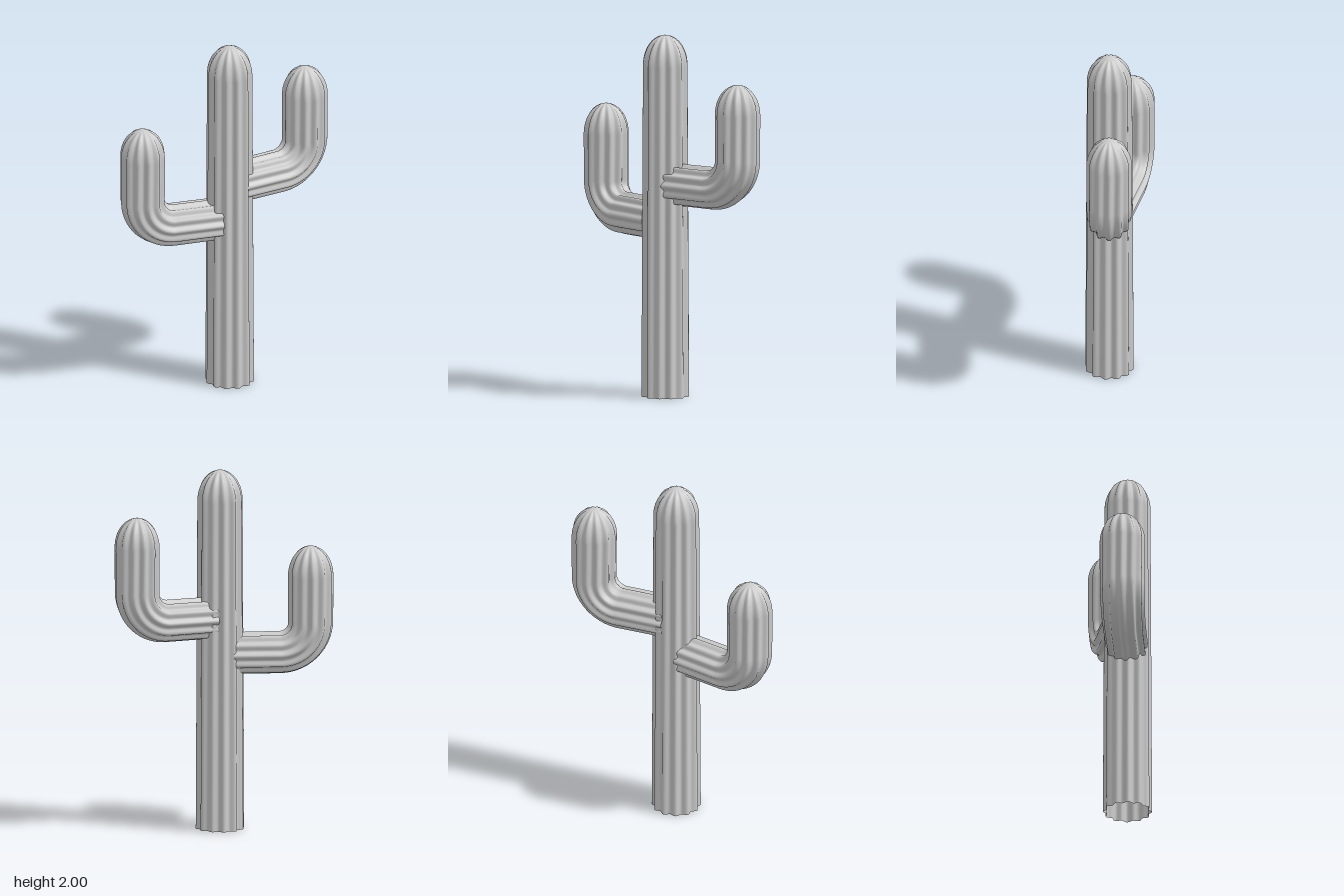
import * as THREE from 'three';

const RIBS = 12, SIDES = 96;
const material = new THREE.MeshStandardMaterial({ color: 0xcccccc, side: THREE.DoubleSide });

// Ribbed tube swept through stations { x, y, angle, r } lying in the XY plane.
// The start is left open and the last station is the closed tip.
function ribbedTube(stations, phase) {
  const pos = [], index = [];
  const tip = stations[stations.length - 1];
  const rings = stations.slice(0, -1);
  for (const s of rings) {
    const ux = Math.sin(s.angle), uy = -Math.cos(s.angle);
    for (let j = 0; j < SIDES; j++) {
      const a = (j / SIDES) * Math.PI * 2;
      const r = s.r * (0.93 + 0.07 * Math.cos(RIBS * (a - phase)));
      pos.push(s.x + ux * r * Math.cos(a), s.y + uy * r * Math.cos(a), r * Math.sin(a));
    }
  }
  pos.push(tip.x, tip.y, 0);
  const apex = rings.length * SIDES;
  rings.forEach((_, i) => {
    for (let j = 0; j < SIDES; j++) {
      const k = (j + 1) % SIDES;
      const a = i * SIDES + j, b = i * SIDES + k;
      if (i === rings.length - 1) index.push(a, apex, b);
      else index.push(a, a + SIDES, b, b, a + SIDES, b + SIDES);
    }
  });
  const geo = new THREE.BufferGeometry();
  geo.setAttribute('position', new THREE.Float32BufferAttribute(pos, 3));
  geo.setIndex(index);
  geo.computeVertexNormals();
  return geo;
}

// Rounded top ending at height `top`
function dome(x, top, r, h) {
  const out = [], n = 12;
  for (let i = 0; i <= n; i++) {
    const t = (i / n) * Math.PI / 2;
    out.push({ x, y: top - h + h * Math.sin(t), angle: Math.PI / 2, r: r * Math.cos(t) });
  }
  return out;
}

// Arm that leaves the trunk sideways, bends upward and ends in a dome
function armStations(start, reach, height, top) {
  const bend = 0.17, n = 14;
  const out = [{ x: start, y: height, angle: 0, r: 0.117 }];
  for (let i = 0; i <= n; i++) {
    const t = (i / n) * Math.PI / 2;
    out.push({
      x: reach - bend + bend * Math.sin(t),
      y: height + bend - bend * Math.cos(t),
      angle: t,
      r: 0.118 + 0.006 * (i / n),
    });
  }
  return out.concat(dome(reach, top, 0.125, 0.165));
}

export function createModel() {
  const group = new THREE.Group();
  const add = (name, stations, phase, turn) => {
    const mesh = new THREE.Mesh(ribbedTube(stations, phase), material);
    mesh.name = name;
    mesh.position.z = 0.06;
    mesh.rotation.y = turn;
    group.add(mesh);
  };

  // Trunk, slightly tapered
  const base = { x: 0, y: 0, angle: Math.PI / 2, r: 0.135 };
  add('trunk', [base, ...dome(0, 2, 0.126, 0.17)], Math.PI / 18, 0);

  // Higher arm on the left, lower arm on the right swung toward the back
  add('leftArm', armStations(0.045, 0.485, 1.178, 1.765), 0, 0);
  add('rightArm', armStations(0.065, 0.5, 0.975, 1.565), 0, Math.PI - 0.252);
  return group;
}
